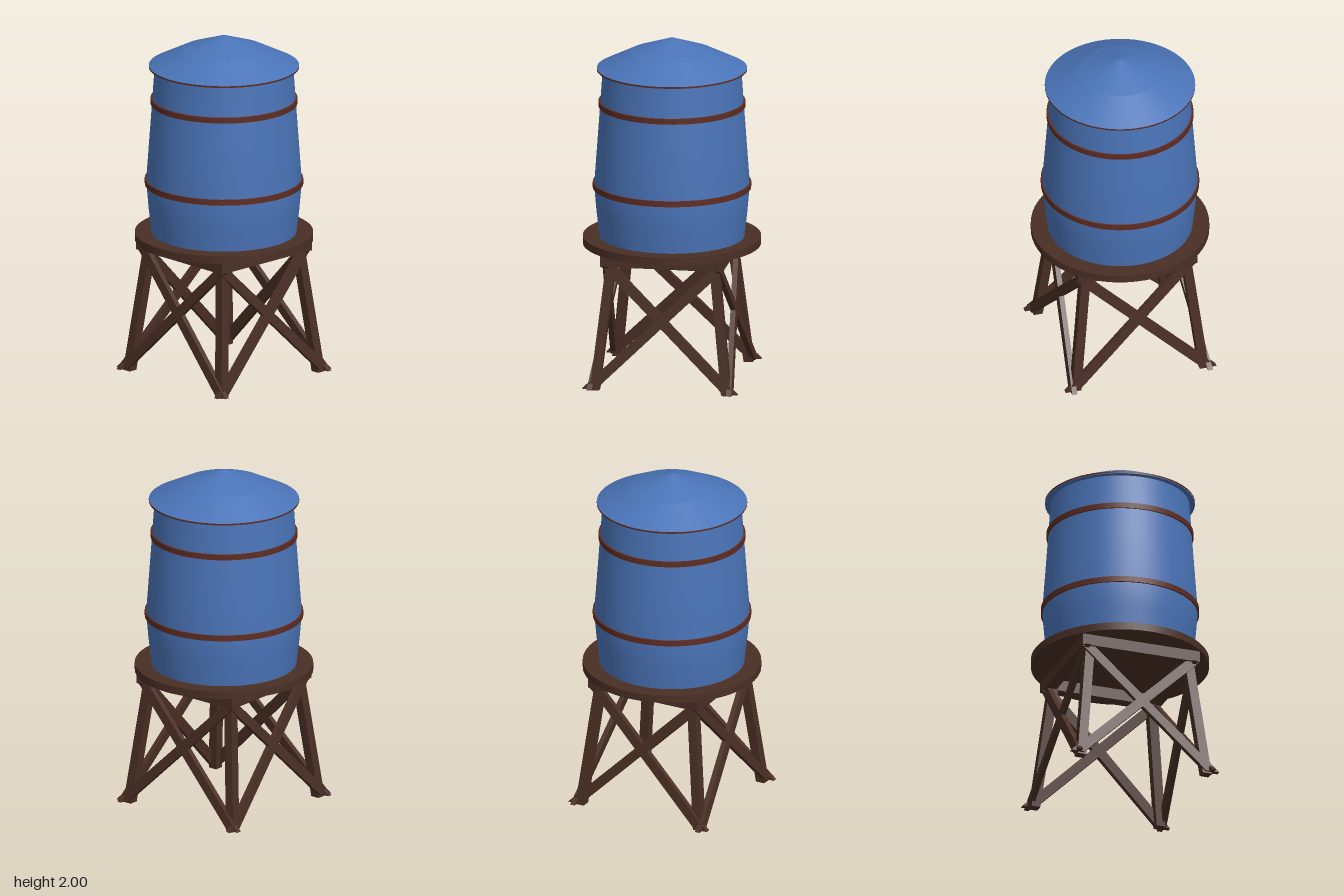
import * as THREE from 'three';

const blue = new THREE.MeshStandardMaterial({ color: 0x4a74b8 });
blue.name = 'blue paint';
const wood = new THREE.MeshStandardMaterial({ color: 0x4a2f25 });
wood.name = 'dark wood';
const rust = new THREE.MeshStandardMaterial({ color: 0x5f2c20 });
rust.name = 'rusty iron';

const SEGMENTS = 64;

export function createModel() {
  const model = new THREE.Group();
  model.name = 'waterTower';

  function add(parent, name, geometry, material, x = 0, y = 0, z = 0) {
    const mesh = new THREE.Mesh(geometry, material);
    mesh.name = name;
    mesh.position.set(x, y, z);
    parent.add(mesh);
    return mesh;
  }

  // Round section between two heights
  function ring(name, rBottom, rTop, y0, y1, material, open = false) {
    const g = new THREE.CylinderGeometry(rTop, rBottom, y1 - y0, SEGMENTS, 1, open);
    return add(model, name, g, material, 0, (y0 + y1) / 2, 0);
  }

  // Slanted timber whose two ends are cut level
  function slantedBeam(parent, name, bottom, top, width, depth) {
    const height = top[1] - bottom[1];
    const g = new THREE.BoxGeometry(width, height, depth).toNonIndexed();
    const p = g.attributes.position;
    for (let i = 0; i < p.count; i++) {
      const t = p.getY(i) / height + 0.5;
      p.setXYZ(i,
        p.getX(i) + THREE.MathUtils.lerp(bottom[0], top[0], t),
        THREE.MathUtils.lerp(bottom[1], top[1], t),
        p.getZ(i) + THREE.MathUtils.lerp(bottom[2], top[2], t));
    }
    g.computeVertexNormals();
    return add(parent, name, g, wood);
  }

  // Bulging tank
  const profile = [[0.414, 0.82], [0.432, 0.98], [0.445, 1.13], [0.421, 1.46], [0.396, 1.815]];
  add(model, 'tank', new THREE.LatheGeometry(
    profile.map(([r, y]) => new THREE.Vector2(r, y)), SEGMENTS), blue);

  // Iron hoops
  ring('lowerHoop', 0.453, 0.453, 1.115, 1.148, rust);
  ring('upperHoop', 0.42, 0.42, 1.595, 1.627, rust);

  // Two-pitch roof with a thin rim
  ring('roofUnderside', 0.428, 0.428, 1.808, 1.812, blue);
  ring('roofRim', 0.43, 0.43, 1.81, 1.82, rust, true);
  ring('roofSkirt', 0.43, 0.24, 1.82, 1.915, blue, true);
  ring('roofCap', 0.24, 0, 1.915, 2, blue, true);

  // Round deck
  ring('platform', 0.51, 0.51, 0.785, 0.83, wood);

  // Four identical sides: deck beam, corner leg and crossed braces
  for (let i = 0; i < 4; i++) {
    const side = new THREE.Group();
    side.name = 'towerSide' + (i + 1);
    side.rotation.y = i * Math.PI / 2;
    model.add(side);

    add(side, 'deckBeam', new THREE.BoxGeometry(0.71, 0.067, 0.07), wood, 0, 0.7525, 0.32);
    slantedBeam(side, 'leg', [0.381, 0, 0.381], [0.3, 0.73, 0.3], 0.054, 0.054);
    for (const s of [-1, 1]) {
      slantedBeam(side, 'crossBrace',
        [s * 0.41, 0.01, 0.405], [-s * 0.318, 0.722, 0.326], 0.08, 0.03);
    }
  }
  return model;
}
